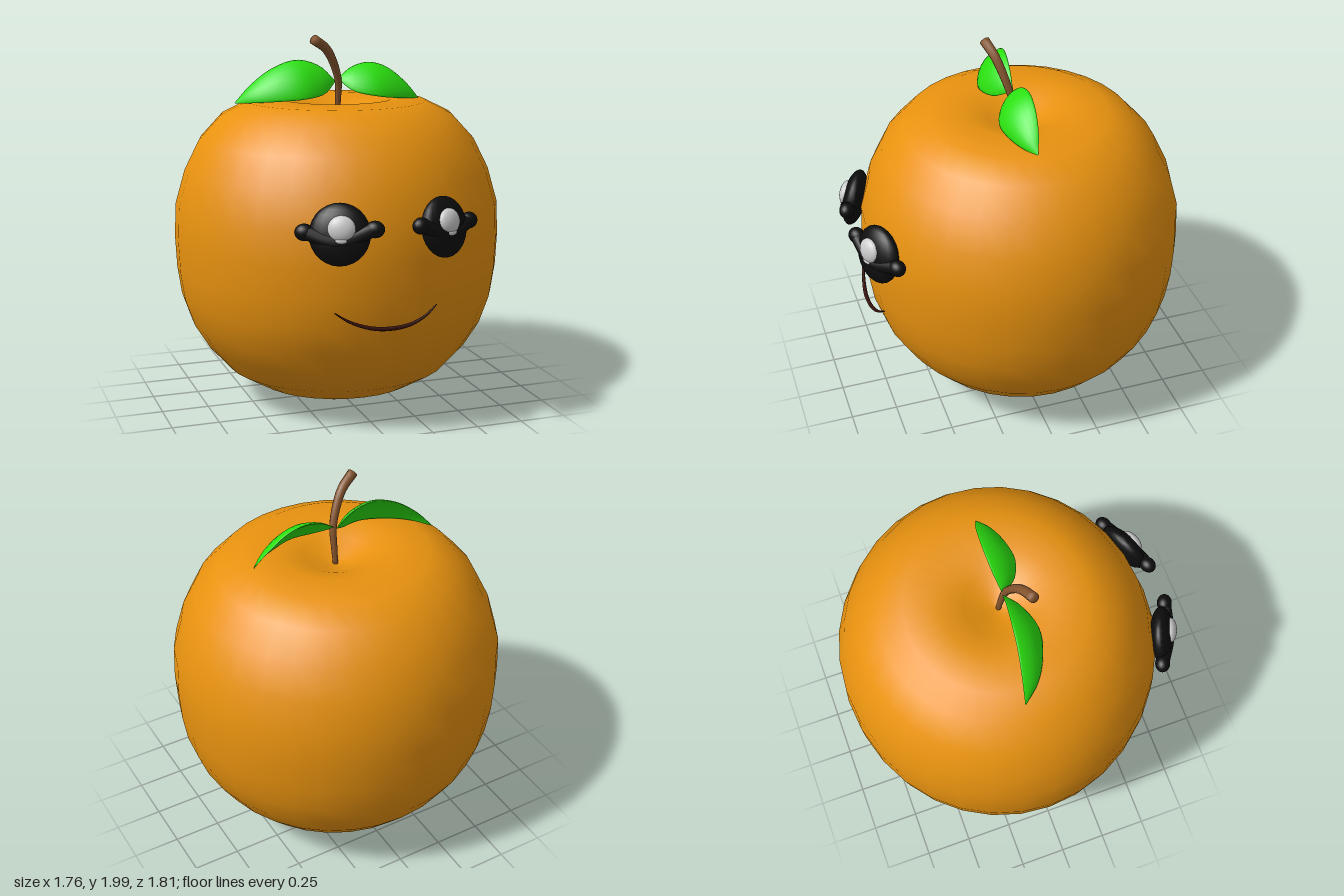
import * as THREE from 'three';

const mat = (color, extra = {}) => new THREE.MeshStandardMaterial({ color, ...extra });
const vec = (p) => new THREE.Vector3(...p);
const curve = (pts) => new THREE.CatmullRomCurve3(pts.map(vec));

function add(parent, name, geometry, material) {
  const mesh = new THREE.Mesh(geometry, material);
  mesh.name = name;
  parent.add(mesh);
  return mesh;
}

function ellipsoid(parent, name, material, pos, radii) {
  const mesh = add(parent, name, new THREE.SphereGeometry(1, 20, 14), material);
  mesh.position.set(...pos);
  mesh.scale.set(...radii);
  return mesh;
}

// Closed skin over rings of equal point count; end rings may shrink to a point
function loft(rings) {
  const n = rings[0].length, pos = [], idx = [];
  rings.forEach((r) => r.forEach((p) => pos.push(p.x, p.y, p.z)));
  for (let i = 0; i < rings.length - 1; i++) {
    for (let j = 0; j < n; j++) {
      const a = i * n + j, b = i * n + (j + 1) % n;
      idx.push(a, b, a + n, b, b + n, a + n);
    }
  }
  const g = new THREE.BufferGeometry();
  g.setAttribute('position', new THREE.Float32BufferAttribute(pos, 3));
  g.setIndex(idx);
  g.computeVertexNormals();
  return g;
}

// Round rod whose radius changes along the path
function taperedRod(path, radiusAt, steps = 20, sides = 10) {
  const { normals, binormals } = path.computeFrenetFrames(steps);
  const rings = [];
  for (let i = -1; i <= steps + 1; i++) {
    const k = Math.min(Math.max(i, 0), steps), t = k / steps;
    const r = i === k ? radiusAt(t) : 0;
    const c = path.getPoint(t);
    rings.push(Array.from({ length: sides }, (_, j) => {
      const a = j / sides * Math.PI * 2;
      return c.clone().addScaledVector(normals[k], Math.cos(a) * r).addScaledVector(binormals[k], Math.sin(a) * r);
    }));
  }
  return loft(rings);
}

// Thin cupped leaf spanning an upper and a lower edge
function leafGeometry(upperPts, lowerPts) {
  const upper = curve(upperPts), lower = curve(lowerPts);
  const steps = 18, sides = 16, outward = new THREE.Vector3(0, 0.6, 0.8), rings = [];
  for (let i = 0; i <= steps; i++) {
    const t = i / steps, u = upper.getPoint(t), l = lower.getPoint(t);
    const swell = Math.sin(Math.PI * t);
    rings.push(Array.from({ length: sides }, (_, j) => {
      const a = j / sides * Math.PI * 2, w = Math.cos(a);
      const lift = 0.025 * swell * (1 - w * w) + 0.012 * Math.sqrt(swell + 1e-6) * Math.sin(a);
      return u.clone().lerp(l, (1 - w) / 2).addScaledVector(outward, lift);
    }));
  }
  return loft(rings);
}

export function createModel() {
  const model = new THREE.Group();
  model.name = 'orangeFruit';
  const black = mat(0x0d0d0d), white = mat(0xd8d8d8), brown = mat(0x85552f, { side: THREE.DoubleSide });
  const green = mat(0x2be010, { side: THREE.DoubleSide });

  // Fruit body with a shallow dimple on top
  const profile = [[0, 0.01], [0.24, 0.03], [0.45, 0.105], [0.61, 0.2], [0.72, 0.325], [0.8, 0.455],
    [0.85, 0.6], [0.872, 0.75], [0.88, 0.92], [0.872, 1.1], [0.82, 1.28], [0.74, 1.44], [0.62, 1.57],
    [0.48, 1.64], [0.3, 1.65], [0.17, 1.61], [0.08, 1.565], [0, 1.55]];
  const body = add(model, 'body',
    new THREE.LatheGeometry(profile.map(([x, y]) => new THREE.Vector2(x, y)), 32), mat(0xe8920f));
  body.scale.z = 0.97;
  body.position.z = -0.046;

  // Bent stem, thicker at the tip
  const stemPath = curve([[0, 1.55, -0.035], [0, 1.65, -0.02], [-0.005, 1.74, 0], [-0.035, 1.83, 0.025],
    [-0.09, 1.92, 0.055], [-0.17, 1.975, 0.085]]);
  add(model, 'stem', taperedRod(stemPath, (t) => 0.014 + 0.013 * t), brown);

  // Two leaves arching away from the stem
  add(model, 'rightLeaf', leafGeometry(
    [[-0.02, 1.75, -0.02], [-0.1, 1.825, -0.03], [-0.22, 1.86, -0.045], [-0.35, 1.82, -0.06], [-0.47, 1.73, -0.08], [-0.55, 1.64, -0.095]],
    [[-0.02, 1.74, -0.01], [-0.1, 1.685, 0.06], [-0.22, 1.665, 0.1], [-0.35, 1.655, 0.07], [-0.47, 1.645, 0], [-0.55, 1.635, -0.09]]), green);
  add(model, 'leftLeaf', leafGeometry(
    [[0, 1.76, -0.02], [0.08, 1.815, -0.035], [0.18, 1.838, -0.04], [0.28, 1.81, -0.035], [0.38, 1.73, -0.02], [0.45, 1.645, 0.005]],
    [[0, 1.75, -0.01], [0.06, 1.695, 0.07], [0.17, 1.67, 0.115], [0.28, 1.655, 0.1], [0.38, 1.645, 0.06], [0.45, 1.635, 0.01]]), green);

  // Eyes lying on the curved front, each with a band that ends in round lobes
  for (const s of [-1, 1]) {
    const eye = new THREE.Group();
    eye.name = s > 0 ? 'leftEye' : 'rightEye';
    eye.position.set(s * 0.272, 1.097, 0.795);
    eye.rotation.set(-0.2, s * 0.42, 0, 'YXZ');
    model.add(eye);
    ellipsoid(eye, 'eyeball', black, [0, 0, 0], [0.15, 0.153, 0.062]);
    const ends = [[-s * 0.17, 0.028, 0.012], [s * 0.17, 0.008, 0.012]];
    const band = curve([ends[0], [0, -0.035, 0.03], ends[1]]);
    add(eye, 'eyeBand', new THREE.TubeGeometry(band, 16, 0.036, 10), black);
    ends.forEach((p) => ellipsoid(eye, 'bandLobe', black, p, [0.048, 0.042, 0.04]));
    ellipsoid(eye, 'eyeHighlight', white, [-s * 0.012, 0.028, 0.05], [0.068, 0.064, 0.034]);
    ellipsoid(eye, 'smallHighlight', white, [-s * 0.012, -0.03, 0.06], [0.03, 0.014, 0.012]);
  }

  // Smile, tapered to both ends
  const smile = curve([[-0.29, 0.7, 0.77], [-0.22, 0.655, 0.79], [-0.12, 0.62, 0.81], [-0.02, 0.61, 0.82],
    [0.09, 0.62, 0.815], [0.18, 0.655, 0.8], [0.245, 0.7, 0.78]]);
  add(model, 'mouth', taperedRod(smile, (t) => 0.003 + 0.008 * Math.sin(Math.PI * t), 24, 8),
    mat(0x35100a, { side: THREE.DoubleSide }));

  return model;
}
